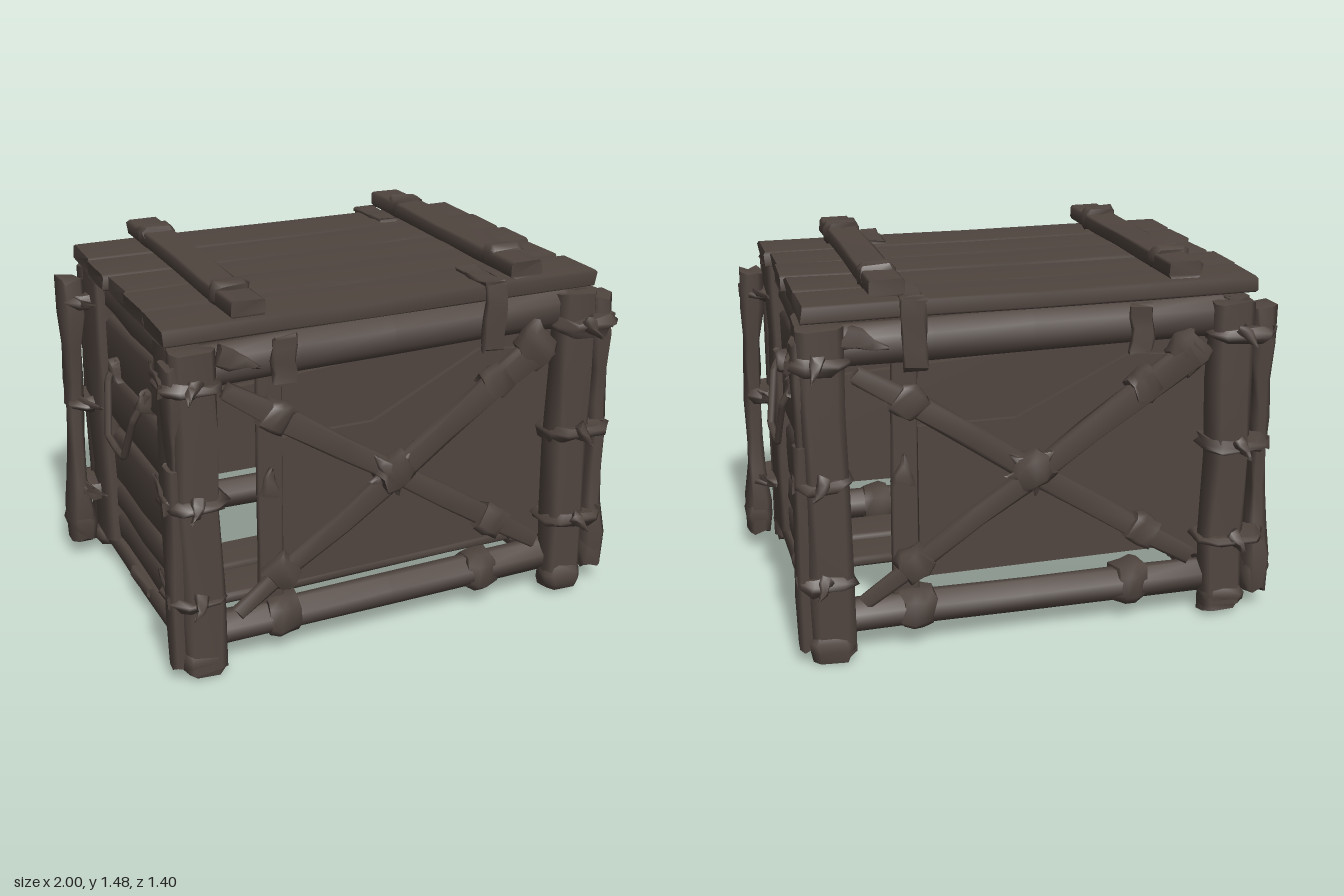
import * as THREE from 'three';

const wood = new THREE.MeshStandardMaterial({ color: 0x50453f, side: THREE.DoubleSide });
wood.name = 'dark weathered wood';

let seed = 7;
const rand = () => (seed = (seed * 16807) % 2147483647) / 2147483647 - 0.5;
const V = (a) => new THREE.Vector3(...a);
const X = [1, 0, 0], Y = [0, 1, 0], Z = [0, 0, 1];

// Hewn timber from a to b: w across, d along the normal n.
// profile lists the section scale at even steps; wob is the unevenness.
function beam(parent, name, a, b, n, w, d, { profile = [1, 1, 1, 1, 1], wob = 0.006, chamfer = 0.22 } = {}) {
  const A = V(a), B = V(b), t = B.clone().sub(A).normalize();
  const s = V(n).cross(t).normalize(), v = t.clone().cross(s);
  const c = chamfer * Math.min(w, d), W = w / 2, D = d / 2, m = profile.length;
  const sec = [[W, -D + c], [W, D - c], [W - c, D], [-W + c, D], [-W, D - c], [-W, -D + c], [-W + c, -D], [W - c, -D]];
  const pos = [], idx = [];
  profile.forEach((k, i) => {
    const o = A.clone().lerp(B, i / (m - 1)).addScaledVector(s, rand() * wob).addScaledVector(v, rand() * wob);
    for (const [p, q] of sec) {
      const e = o.clone().addScaledVector(s, p * k + rand() * wob).addScaledVector(v, q * k + rand() * wob);
      if (i === 0 || i === m - 1) e.addScaledVector(t, rand() * wob * 2);
      pos.push(e.x, e.y, e.z);
    }
  });
  for (let i = 0; i < m - 1; i++) for (let j = 0; j < 8; j++) {
    const p = i * 8 + j, q = i * 8 + (j + 1) % 8;
    idx.push(p, q, p + 8, q, q + 8, p + 8);
  }
  // end caps on their own corners so the cut stays crisp
  for (const r of [0, m - 1]) {
    const base = pos.length / 3;
    pos.push(...pos.slice(r * 24, r * 24 + 24));
    for (let j = 1; j < 7; j++) r ? idx.push(base, base + j, base + j + 1) : idx.push(base, base + j + 1, base + j);
  }
  const g = new THREE.BufferGeometry();
  g.setAttribute('position', new THREE.Float32BufferAttribute(pos, 3));
  g.setIndex(idx);
  g.computeVertexNormals();
  return add(parent, name, g);
}

function add(parent, name, geometry) {
  const mesh = new THREE.Mesh(geometry, wood);
  mesh.name = name;
  parent.add(mesh);
  return mesh;
}

// Flat board cut to an outline, facing z
function board(parent, name, pts, z, depth = 0.03) {
  const g = new THREE.ExtrudeGeometry(new THREE.Shape(pts.map(p => new THREE.Vector2(...p))), { depth, bevelEnabled: false });
  return add(parent, name, g.translate(0, 0, z));
}

const lump = { profile: [0.85, 1, 1, 0.85], wob: 0.015 };
const spike = { profile: [1, 0.9, 0.45, 0.1], wob: 0.012 };

// Corner post: two boards, a pole beside them and torn bindings
function post(g, side, leaning) {
  const x = side * 0.785;
  beam(g, 'cornerPostFront', [x, 0.03, 0.585], [x, 1.29, 0.575], Z, 0.16, 0.11, { wob: 0.015 });
  beam(g, 'cornerPostSide', [side * 0.82, 0.11, 0.47], [side * 0.82, 1.29, 0.47], Z, 0.09, 0.21, { wob: 0.012 });
  beam(g, 'postFoot', [x, 0.01, 0.585], [x, 0.12, 0.585], Z, 0.165, 0.12, lump);
  if (leaning) {
    beam(g, 'leaningPole', [side * 0.94, 0.07, 0.55], [side * 0.92, 1.25, 0.535], Z, 0.085, 0.12,
      { profile: [1.0, 1.25, 0.85, 0.75, 0.75, 0.75, 0.85, 1.15, 1.0], wob: 0.014 });
    beam(g, 'poleFoot', [side * 0.94, 0.07, 0.55], [side * 0.93, 0.25, 0.55], Z, 0.12, 0.15, { profile: [0.75, 1, 0.7], wob: 0.015 });
  } else {
    beam(g, 'lowerPole', [side * 0.88, 0.05, 0.575], [side * 0.87, 0.86, 0.575], Z, 0.06, 0.08, { wob: 0.008 });
    beam(g, 'upperPole', [side * 0.86, 0.78, 0.56], [side * 0.865, 1.24, 0.56], Z, 0.06, 0.11, { profile: [0.7, 0.9, 1.1, 0.9], wob: 0.012 });
  }
  const r = leaning ? 0.955 : 0.905;
  for (const y of [0.32, 0.71, 1.16]) {
    beam(g, 'postBinding', [(side * (0.69 + r)) / 2, y - 0.025, 0.55], [(side * (0.69 + r)) / 2, y + 0.025, 0.55], Z, r - 0.69, 0.225, { ...lump, wob: 0.02 });
    beam(g, 'tornBindingEnd', [side * 0.8, y + 0.03, 0.64], [side * 0.84, y - 0.03, 0.69], X, 0.06, 0.05, spike);
    beam(g, 'tornBindingTail', [side * r, y, 0.6], [side * 0.87, y + 0.02, 0.35], X, 0.055, 0.02, spike);
  }
}

// Front wall, reused turned round as the back; strapX is where the lid is strapped on
function longWall(g, strapX) {
  beam(g, 'topRail', [-0.76, 1.21, 0.53], [0.76, 1.22, 0.53], Z, 0.155, 0.12, { chamfer: 0.35 });
  beam(g, 'bottomRail', [-0.76, 0.145, 0.54], [0.76, 0.145, 0.54], Z, 0.13, 0.12, { chamfer: 0.35 });
  board(g, 'upperPlank', [[-0.76, 0.88], [0.1, 0.87], [0.6, 0.95], [0.6, 1.14], [-0.1, 1.12], [-0.76, 1.08]], 0.47, 0.03);
  board(g, 'brokenPanel', [[-0.43, 0.26], [0.65, 0.27], [0.59, 1.07], [0.4, 1.09], [-0.05, 0.87], [-0.43, 0.87]], 0.5, 0.02);
  board(g, 'splitBoard', [[0.6, 0.21], [0.77, 0.21], [0.77, 1.15], [0.56, 1.15]], 0.47, 0.025);
  beam(g, 'innerStrap', [-0.49, 0.2, 0.53], [-0.48, 1.2, 0.53], Z, 0.1, 0.03);
  beam(g, 'innerStrapKnot', [-0.5, 0.66, 0.55], [-0.48, 0.77, 0.55], Z, 0.08, 0.05, spike);
  // crossed braces
  const brace = { profile: [0.7, 1.05, 1, 0.95, 1, 1, 0.75], wob: 0.012 };
  beam(g, 'thinBrace', [-0.67, 1.12, 0.6], [0.64, 0.26, 0.6], Z, 0.085, 0.05, brace);
  beam(g, 'thickBrace', [-0.66, 0.23, 0.61], [0.64, 1.12, 0.61], Z, 0.1, 0.055, { ...brace, profile: [0.6, 0.7, 0.8, 0.9, 1, 1.1, 1.2] });
  beam(g, 'braceHead', [0.56, 1.06, 0.6], [0.65, 1.15, 0.6], Z, 0.16, 0.09, lump);
  beam(g, 'braceBindingCentre', [-0.07, 0.66, 0.615], [0.04, 0.73, 0.615], Z, 0.13, 0.11, lump);
  for (const [dx, dy] of [[0.08, 0.07], [-0.08, 0.07], [0.02, -0.1], [-0.1, -0.02]])
    beam(g, 'braceBindingTip', [-0.02, 0.7, 0.64], [-0.02 + dx, 0.7 + dy, 0.63], Z, 0.07, 0.04, spike);
  for (const [x, y, k] of [[-0.48, 1, -1], [0.43, 0.4, -1], [0.43, 0.99, 1], [-0.47, 0.36, 1]])
    beam(g, 'braceBinding', [x - 0.045, y - 0.03 * k, 0.605], [x + 0.045, y + 0.03 * k, 0.605], Z, 0.125, 0.085, lump);
  // straps on the rails, one of them up over the lid edge
  for (const x of [-0.45, 0.41]) {
    const overLid = x * strapX > 0;
    beam(g, 'railStrap', [x - 0.06, 0.15, 0.54], [x + 0.06, 0.15, 0.54], Z, 0.16, 0.15, lump);
    beam(g, 'lidStrapFront', [x, 1.12, 0.6], [x, overLid ? 1.38 : 1.3, 0.605], Z, 0.09, 0.025, { wob: 0.012 });
    if (overLid) beam(g, 'lidStrapTop', [x, 1.378, 0.61], [x, 1.378, 0.37], Y, 0.085, 0.015, { wob: 0.008 });
  }
  beam(g, 'railSplinter', [-0.7, 1.26, 0.6], [-0.56, 1.22, 0.65], Z, 0.08, 0.04, spike);
  post(g, 1, true);
  post(g, -1, false);
}

// Right side planks and handle, reused turned round as the left side
function shortWall(g) {
  for (const [y0, y1, tilt] of [[1.14, 1.28, 0.01], [0.9, 1.13, -0.01], [0.665, 0.88, 0.006], [0.385, 0.63, -0.006], [0.255, 0.38, 0.004], [0.11, 0.25, 0]]) {
    const y = (y0 + y1) / 2;
    beam(g, 'sidePlank', [0.79, y + tilt, 0.52], [0.79, y - tilt, -0.52], X, y1 - y0, 0.06, { wob: 0.01, chamfer: 0.4 });
  }
  beam(g, 'sideBottomRail', [0.79, 0.075, 0.56], [0.79, 0.075, -0.58], X, 0.085, 0.1);
  beam(g, 'sideRailStrap', [0.79, 0.095, 0.11], [0.79, 0.095, -0.1], X, 0.045, 0.12, { profile: [1, 1, 1], wob: 0.008 });
  const path = new THREE.CurvePath();
  const pts = [[0.83, 0.99, 0.21], [0.875, 0.92, 0.195], [0.905, 0.71, 0.13], [0.9, 0.685, 0.02], [0.9, 0.69, -0.06], [0.885, 0.88, -0.16], [0.83, 0.99, -0.19]].map(V);
  for (let i = 1; i < pts.length; i++) path.add(new THREE.LineCurve3(pts[i - 1], pts[i]));
  add(g, 'ropeHandle', new THREE.TubeGeometry(path, 36, 0.015, 6));
  for (const z of [0.205, -0.18])
    beam(g, 'handleKnot', [0.835, 0.91, z * 0.93], [0.84, 0.99, z], X, 0.045, 0.06, lump);
}

export function createModel() {
  seed = 7;
  const crate = new THREE.Group();
  crate.name = 'woodenCrate';

  for (const [name, turn, strapX] of [['frontHalf', 0, 1], ['backHalf', Math.PI, -1]]) {
    const half = new THREE.Group();
    half.name = name;
    half.rotation.y = turn;
    longWall(half, strapX);
    shortWall(half);
    crate.add(half);
  }

  // lid planks
  const lid = new THREE.Group();
  lid.name = 'lid';
  crate.add(lid);
  for (const [z, w] of [[-0.47, 0.225], [-0.235, 0.22], [0, 0.205], [0.225, 0.215], [0.465, 0.225]])
    beam(lid, 'lidPlank', [-0.88 + rand() * 0.02, 1.34, z], [0.86 + rand() * 0.03, 1.335, z], Y, w, 0.065, { chamfer: 0.12 });
  // lid battens with bound ends
  for (const x of [-0.58, 0.545]) {
    beam(lid, 'lidBatten', [x, 1.415, 0.6], [x, 1.42, -0.59], Y, 0.13, 0.06, { chamfer: 0.15 });
    for (const z of [0.42, -0.4])
      beam(lid, 'battenBinding', [x, 1.428, z - 0.04], [x, 1.428, z + 0.04], Y, 0.145, 0.085, lump);
  }

  // sparse floor planks
  for (const z of [0.02, 0.25])
    beam(crate, 'floorPlank', [-0.78, 0.14, z], [0.78, 0.14, z], Y, 0.19, 0.045);
  return crate;
}
